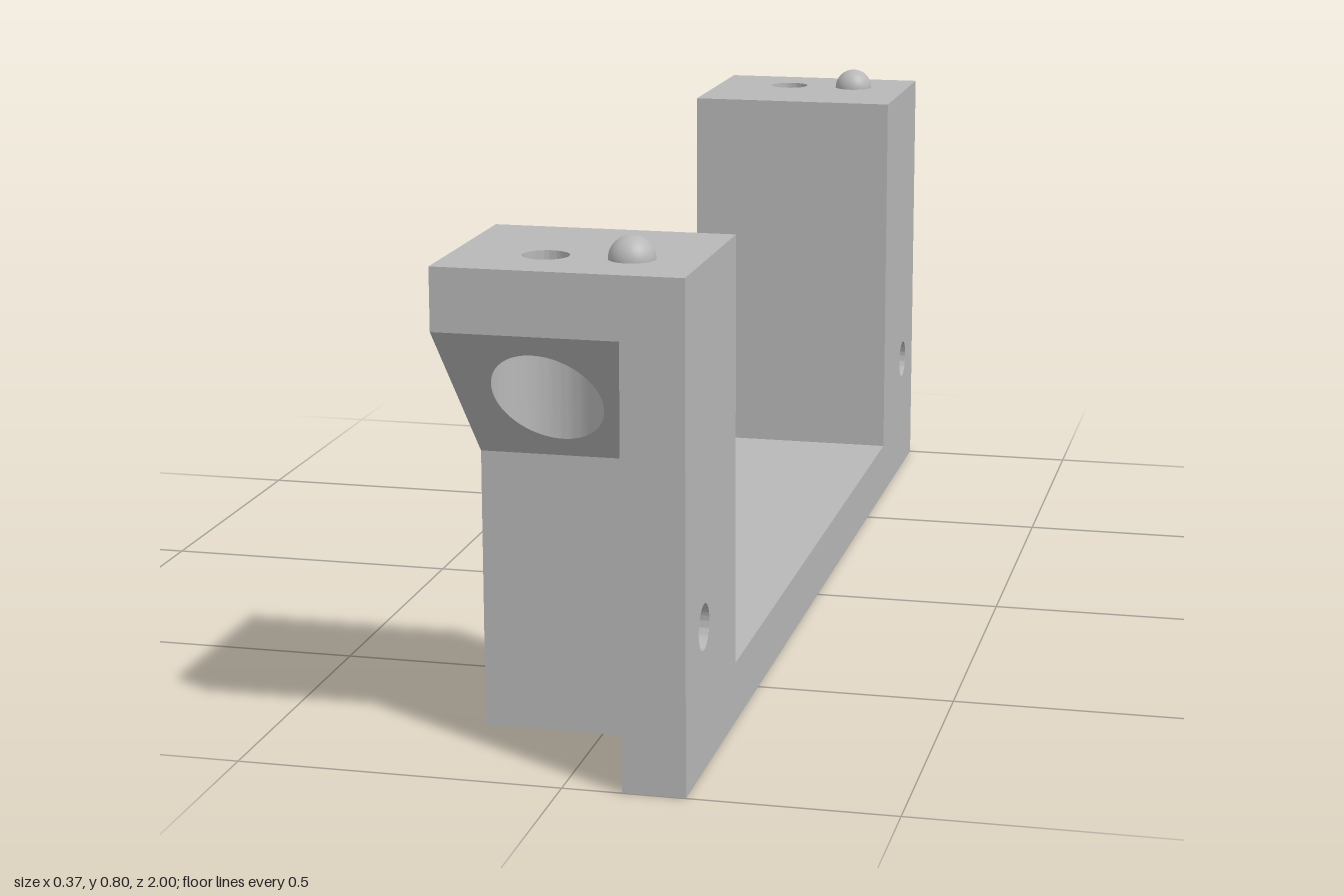
import * as THREE from 'three';
import { toCreasedNormals } from 'three/addons/utils/BufferGeometryUtils.js';

const W = 0.186;      // half width in x
const RIB = 0.091;    // inner face of the side plate
const H = 0.766;      // post height
const BASE = 0.096;   // base thickness
const INNER = 0.67;   // post face towards the middle
const WALL = 0.766;   // outer face of the post wall
const LIP = 0.672;    // underside of the post cap
const HOLE_X = -0.047, HOLE_Z = 0.883;
const SMALL = 0.035, LARGE = 0.082;

function circle(x, y, r) {
  return new THREE.Path().absarc(x, y, r, 0, Math.PI * 2, false);
}

function extrude(shape, depth) {
  return new THREE.ExtrudeGeometry(shape, { depth, bevelEnabled: false, curveSegments: 40 });
}

// U-shaped profile with posts reaching out to z = +-outer, extruded from x0 to x1
function channel(outer, x0, x1, holes) {
  const shape = new THREE.Shape([
    [-outer, 0], [outer, 0], [outer, H], [INNER, H], [INNER, BASE],
    [-INNER, BASE], [-INNER, H], [-outer, H],
  ].map(([z, y]) => new THREE.Vector2(z, y)));
  if (holes) for (const s of [-1, 1]) shape.holes.push(circle(s * HOLE_Z, 0.222, SMALL));
  return extrude(shape, x1 - x0).rotateY(Math.PI / 2).translate(x0, 0, 0);
}

// Block over the post pocket with a vertical hole, from y0 to y1; s picks the end
function pocketBlock(s, r, y0, y1) {
  const a = -s * WALL, b = -s;
  const shape = new THREE.Shape([
    new THREE.Vector2(-W, a), new THREE.Vector2(RIB, a),
    new THREE.Vector2(RIB, b), new THREE.Vector2(-W, b),
  ]);
  shape.holes.push(circle(HOLE_X, -s * HOLE_Z, r));
  return extrude(shape, y1 - y0).rotateX(-Math.PI / 2).translate(0, y0, 0);
}

// Slope the underside from the wall up to the outer lip
function slopeUnderside(geo, top) {
  const p = geo.attributes.position;
  for (let i = 0; i < p.count; i++) {
    if (p.getY(i) > top - 0.01) continue;
    const t = (Math.abs(p.getZ(i)) - WALL) / (1 - WALL);
    p.setY(i, THREE.MathUtils.lerp(0.437, LIP - 0.001, t));
  }
  return geo;
}

export function createModel() {
  const group = new THREE.Group();
  group.name = 'bracket';
  const grey = new THREE.MeshStandardMaterial({ color: 0xb8b8b8 });
  grey.name = 'grey';

  const add = (name, geo) => {
    const mesh = new THREE.Mesh(geo, grey);
    mesh.name = name;
    group.add(mesh);
    return mesh;
  };

  // Side plate with cross holes, and the base with its two upright walls
  add('sidePlate', toCreasedNormals(channel(1, RIB, W, true), 0.5));
  add('baseAndWalls', channel(WALL, -W, RIB, false));

  for (const s of [1, -1]) {
    const end = s > 0 ? 'front' : 'back';
    // Cap with a small hole above a sloped gusset with a wide bore
    add(end + 'Cap', toCreasedNormals(pocketBlock(s, SMALL, LIP, H), 0.5));
    const gusset = slopeUnderside(pocketBlock(s, LARGE, 0.4, LIP), LIP);
    add(end + 'Gusset', toCreasedNormals(gusset, 0.5));
    // Domed locating peg
    const peg = add(end + 'Peg',
      new THREE.SphereGeometry(SMALL, 32, 12, 0, Math.PI * 2, 0, Math.PI / 2));
    peg.position.set(0.081, H, s * HOLE_Z);
  }
  return group;
}
